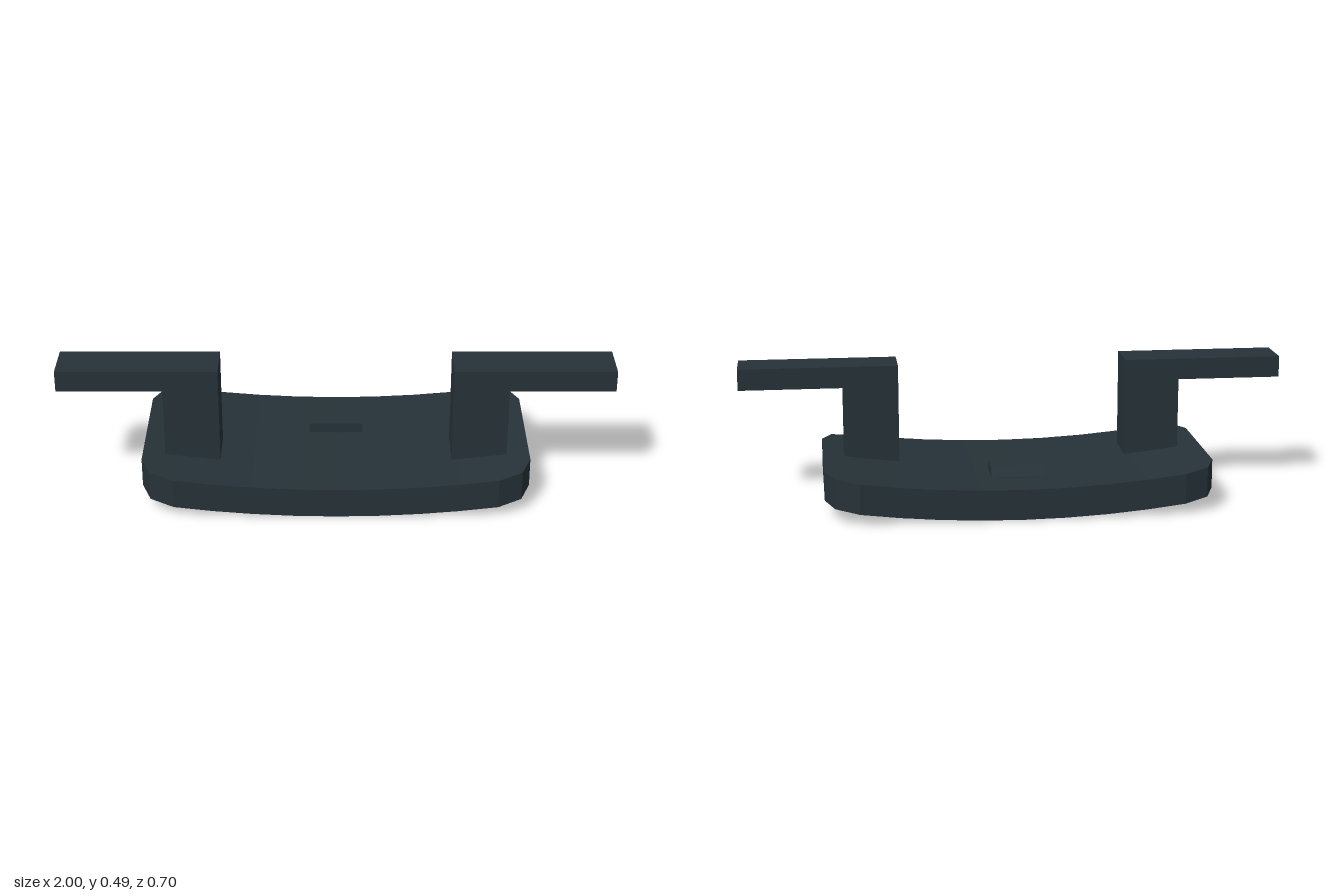
import * as THREE from 'three';

const darkSlate = new THREE.MeshStandardMaterial({ color: 0x263238, flatShading: true });
darkSlate.name = 'darkSlate';

// Extruded outline, centred on its depth
function extrude(points, depth) {
  const shape = new THREE.Shape(points.map(([x, y]) => new THREE.Vector2(x, y)));
  const geometry = new THREE.ExtrudeGeometry(shape, { depth, bevelEnabled: false });
  return geometry.translate(0, 0, -depth / 2);
}

// Curved plate: stations along x, each with its half width
function plateGeometry() {
  const stations = [0, 0.15, 0.3, 0.44, 0.58, 0.665, 0.7];
  const halfWidths = [0.35, 0.35, 0.35, 0.35, 0.35, 0.315, 0.23];
  const geometry = new THREE.BoxGeometry(12, 1, 2, 12, 1, 4);
  const pos = geometry.attributes.position;
  for (let i = 0; i < pos.count; i++) {
    const step = Math.round(pos.getX(i));
    const side = pos.getZ(i);
    const x = stations[Math.abs(step)];
    const z = side * halfWidths[Math.abs(step)];
    const rise = 0.057 * (x / 0.7) ** 2;
    const hollow = 0.005 * (1 - (z / 0.35) ** 2);
    pos.setXYZ(i, Math.sign(step) * x, rise + (pos.getY(i) > 0 ? 0.11 : hollow), z);
  }
  geometry.computeVertexNormals();
  return geometry;
}

export function createModel() {
  const group = new THREE.Group();
  group.name = 'bracketPlate';
  const add = (name, geometry) => {
    const mesh = new THREE.Mesh(geometry, darkSlate);
    mesh.name = name;
    group.add(mesh);
    return mesh;
  };

  add('curvedPlate', plateGeometry());

  // Post and outward arm on each side
  for (const [name, s] of [['leftArm', 1], ['rightArm', -1]]) {
    const outline = [[0.42, 0.09], [0.62, 0.09], [0.62, 0.412], [1, 0.412], [1, 0.49], [0.42, 0.49]];
    add(name, extrude(outline.map(([x, y]) => [s * x, y]), 0.16)).position.z = 0.09;
  }

  // Small wedge catch, sloping down at the back
  const catchProfile = [[-0.19, 0.09], [-0.07, 0.09], [-0.07, 0.148], [-0.16, 0.148], [-0.19, 0.112]];
  add('catchWedge', extrude(catchProfile, 0.2).rotateY(-Math.PI / 2));

  return group;
}
